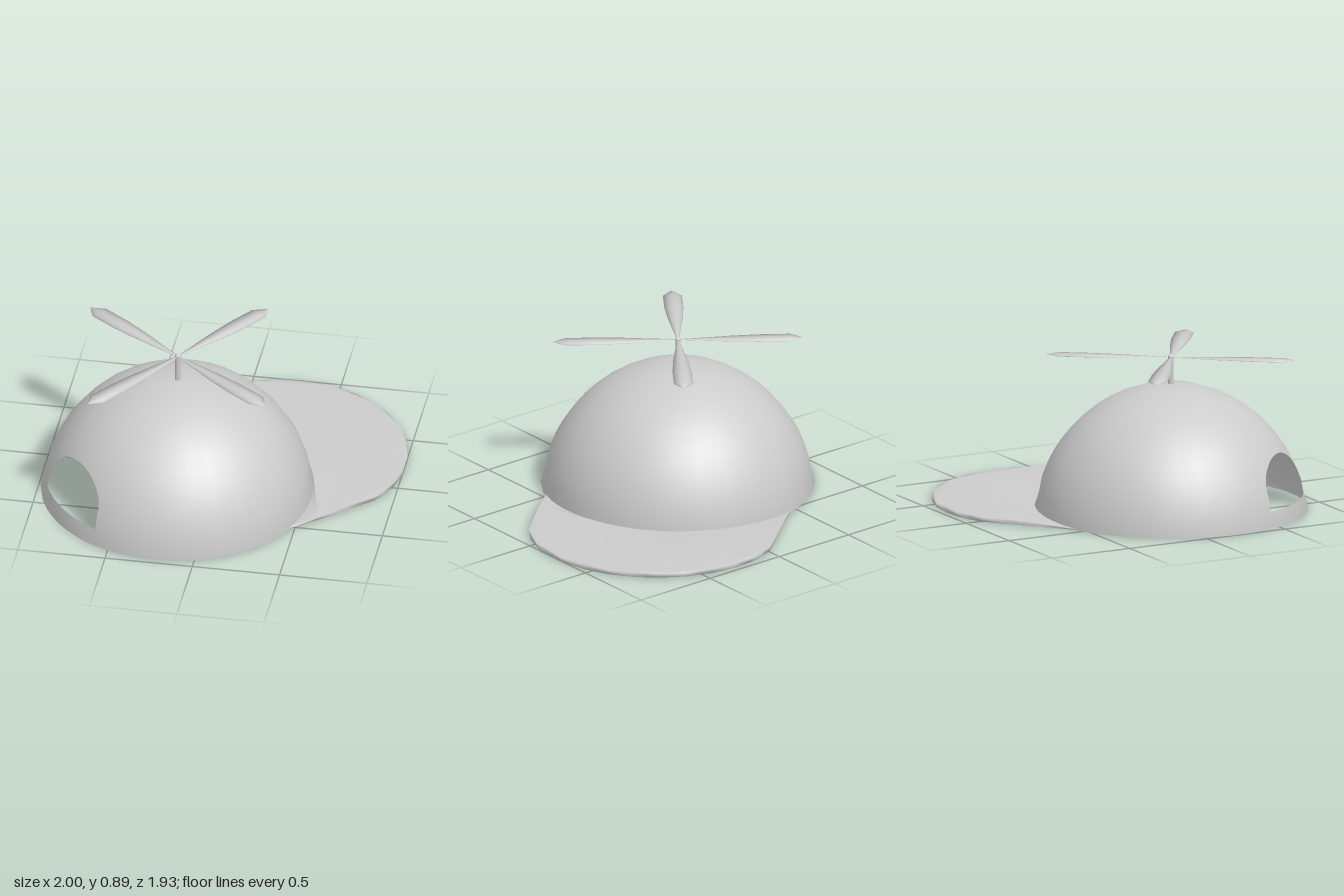
import * as THREE from 'three';
import { mergeVertices } from 'three/addons/utils/BufferGeometryUtils.js';

// dome profile as [radius, height], rim to top
const PROFILE = [[0.774, 0], [0.747, 0.09], [0.732, 0.17], [0.703, 0.245], [0.664, 0.32], [0.618, 0.39],
  [0.567, 0.453], [0.508, 0.515], [0.442, 0.57], [0.375, 0.614], [0.305, 0.652], [0.16, 0.703], [0.08, 0.715], [0, 0.72]];
const HEIGHTS = PROFILE.map(([, y]) => y);
const HOLE = 0.363;              // half angle of the rear opening
const grey = new THREE.MeshStandardMaterial({ color: 0xcccccc, side: THREE.DoubleSide });

function add(parent, name, geometry) {
  const mesh = new THREE.Mesh(geometry, grey);
  mesh.name = name;
  parent.add(mesh);
  return mesh;
}

function radiusAt(y) {
  const i = Math.max(1, HEIGHTS.findIndex((h) => h >= y));
  const [r0, y0] = PROFILE[i - 1], [r1, y1] = PROFILE[i];
  return r0 + (r1 - r0) * (y - y0) / (y1 - y0);
}

// Patch of the dome: columns at the given angles, rows at the given heights, cut off below low(angle)
function domePatch(angles, heights, low) {
  const pos = [], nor = [], index = [];
  const rows = heights.length;
  angles.forEach((a, i) => heights.forEach((h, j) => {
    const y = Math.max(h, low(a)), r = radiusAt(y);
    const p = new THREE.Vector3(r * Math.cos(a), y, r * Math.sin(a));
    pos.push(p.x, p.y, p.z);
    p.y += 0.05;
    nor.push(...p.normalize().toArray());
    if (i && j) {
      const d = i * rows + j, c = d - 1, b = d - rows, o = b - 1;
      index.push(o, b, c, c, b, d);
    }
  }));
  const g = new THREE.BufferGeometry();
  g.setAttribute('position', new THREE.Float32BufferAttribute(pos, 3));
  g.setAttribute('normal', new THREE.Float32BufferAttribute(nor, 3));
  g.setIndex(index);
  return g;
}

function makeCrown() {
  const crown = new THREE.Group();
  crown.name = 'crown';
  const side = Math.PI - HOLE;
  const around = Array.from({ length: 29 }, (_, i) => -side + 2 * side * i / 28);
  // columns crowd towards the sides of the opening so the arch stays round
  const across = Array.from({ length: 15 }, (_, i) => Math.PI - HOLE * Math.cos(Math.PI * i / 14));
  const rim = () => 0;
  const arch = (a) => {
    const s = (a - Math.PI) / HOLE;
    return 0.2 + 0.165 * Math.sqrt(Math.max(0, 1 - s * s));
  };
  add(crown, 'crownShell', domePatch(around, HEIGHTS, rim));
  add(crown, 'crownAboveOpening', domePatch(across, HEIGHTS, arch));
  add(crown, 'rearStrap', domePatch(across, HEIGHTS.slice(0, 2), rim));
  return crown;
}

function makeBrim() {
  // half outline as (distance forward, half width), mirrored for the other side
  const half = [[0.5, 0.7], [0.7, 0.698], [0.88, 0.69], [0.97, 0.662], [1.06, 0.612], [1.15, 0.545],
    [1.25, 0.43], [1.33, 0.29], [1.375, 0.14]];
  const outline = [...half, [1.388, 0], ...half.map(([u, v]) => [u, -v]).reverse()];
  const inner = 0.768, start = Math.asin(0.7 / inner);
  const shape = new THREE.Shape();
  shape.moveTo(inner * Math.cos(start), 0.7);
  outline.forEach(([u, v]) => shape.lineTo(u, v));
  shape.lineTo(inner * Math.cos(start), -0.7);
  shape.absarc(0, 0, inner, -start, start, false);
  const g = new THREE.ExtrudeGeometry(shape, { depth: 0.024, bevelEnabled: false, curveSegments: 20 })
    .rotateX(-Math.PI / 2);
  // thin the brim where it meets the sides of the crown
  const p = g.attributes.position;
  for (let i = 0; i < p.count; i++) {
    p.setY(i, p.getY(i) * THREE.MathUtils.clamp((p.getX(i) - 0.2) / 0.5, 0.25, 1));
  }
  // soft edges
  g.deleteAttribute('normal');
  g.deleteAttribute('uv');
  const soft = mergeVertices(g);
  soft.computeVertexNormals();
  return soft;
}

function makePropeller() {
  const propeller = new THREE.Group();
  propeller.name = 'propeller';
  const stem = add(propeller, 'stem', new THREE.CylinderGeometry(0.015, 0.015, 0.17, 12));
  stem.position.y = 0.79;
  const cap = add(propeller, 'stemCap', new THREE.SphereGeometry(0.016, 12, 8));
  cap.position.y = 0.874;
  // blade: a turned profile laid along x and pressed thin, keeping its rounded shading
  const profile = [[0.006, 0], [0.02, 0.12], [0.042, 0.3], [0.054, 0.46], [0.054, 0.635], [0, 0.71]];
  const blade = new THREE.LatheGeometry(profile.map(([r, l]) => new THREE.Vector2(r, l)), 12)
    .rotateZ(-Math.PI / 2);
  blade.attributes.position.applyMatrix4(new THREE.Matrix4().makeScale(1, 0.09, 1));
  for (let i = 0; i < 4; i++) {
    const b = add(propeller, 'blade', blade);
    b.position.y = 0.872;
    b.rotation.y = i * Math.PI / 2;
  }
  return propeller;
}

export function createModel() {
  const model = new THREE.Group();
  model.name = 'propellerCap';
  const cap = new THREE.Group();
  cap.name = 'cap';
  cap.add(makeCrown());
  add(cap, 'brim', makeBrim());
  cap.rotation.y = 0.71;            // the cap sits turned, brim to the back left
  const propeller = makePropeller();
  propeller.rotation.y = 0.945;
  for (const part of [cap, propeller]) {
    part.position.set(-0.225, 0, 0.195);
    model.add(part);
  }
  return model;
}
